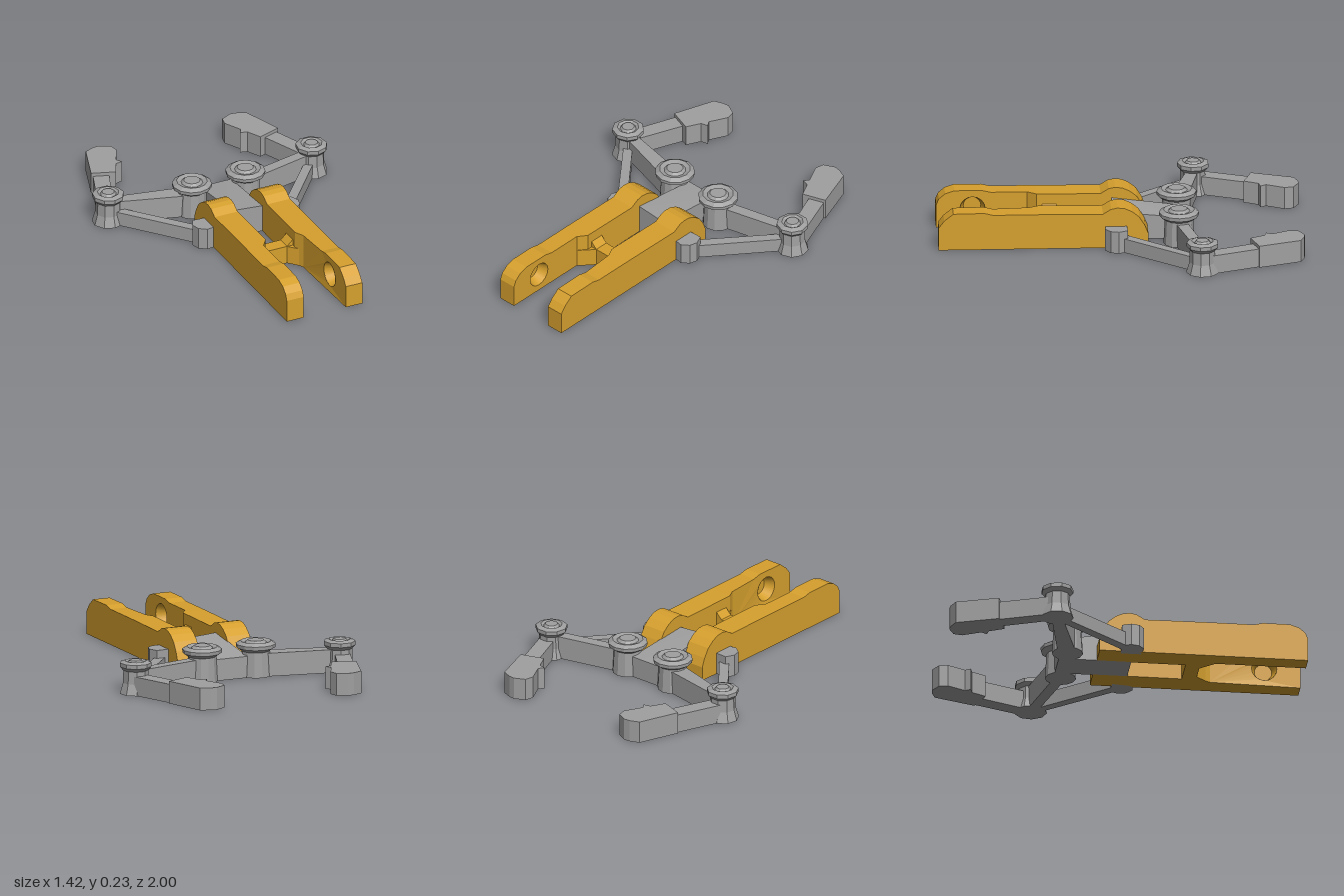
import * as THREE from 'three';

const gold = new THREE.MeshStandardMaterial({ color: 0xd6a02e, side: THREE.DoubleSide });
gold.name = 'gold';
const grey = new THREE.MeshStandardMaterial({ color: 0xa0a0a0 });
grey.name = 'grey';

function add(parent, name, geometry, material) {
  const mesh = new THREE.Mesh(geometry, material);
  mesh.name = name;
  parent.add(mesh);
  return mesh;
}

const toShape = pts => new THREE.Shape(pts.map(p => new THREE.Vector2(p[0], p[1])));
const extrude = (shape, depth) =>
  new THREE.ExtrudeGeometry(shape, { depth, bevelEnabled: false, curveSegments: 8 });

// Prism from an (x, z) outline, mirrored by s, standing between y0 and y1
function planPrism(pts, s, y0, y1) {
  return extrude(toShape(pts.map(([x, z]) => [s * x, -z])), y1 - y0)
    .rotateX(-Math.PI / 2).translate(0, y0, 0);
}

// Slab from a (z, y) profile between an inner x that may vary with z and an outer x
function sideSlab(pts, s, inner, outer, hole) {
  const shape = toShape(pts);
  if (hole) {
    const path = new THREE.Path();
    path.absarc(hole.z, hole.y, hole.r, 0, Math.PI * 2, true);
    shape.holes.push(path);
  }
  const g = extrude(shape, 1).rotateY(-Math.PI / 2);
  const p = g.attributes.position;
  for (let i = 0; i < p.count; i++) {
    const t = s > 0 ? 1 + p.getX(i) : -p.getX(i);
    const a = inner(p.getZ(i));
    p.setX(i, s * (a + t * (outer - a)));
  }
  g.computeVertexNormals();
  return g;
}

// Straight bar between two (x, z) points, tapering from width w0 to w1
function bar([x0, z0], [x1, z1], w0, w1, height, s) {
  const len = Math.hypot(x1 - x0, z1 - z0);
  const nx = -(z1 - z0) / len / 2, nz = (x1 - x0) / len / 2;
  return planPrism([
    [x0 + nx * w0, z0 + nz * w0], [x1 + nx * w1, z1 + nz * w1],
    [x1 - nx * w1, z1 - nz * w1], [x0 - nx * w0, z0 - nz * w0],
  ], s, 0, height);
}

// Faceted pivot turned from (radius, y) points
function pivot(pts, sides) {
  const g = new THREE.LatheGeometry(pts.map(p => new THREE.Vector2(p[0], p[1])), sides).toNonIndexed();
  g.computeVertexNormals();
  return g;
}

function goldArm(s) {
  const arm = new THREE.Group();
  arm.name = s > 0 ? 'leftArm' : 'rightArm';
  const nose = s > 0
    ? [[1, 0.13], [0.97, 0.17], [0.92, 0.21]]
    : [[1, 0.13], [0.985, 0.165], [0.95, 0.195], [0.9, 0.212]];
  const front = [[0.5, 0], [1, 0], ...nose, [0.75, 0.212], [0.7, 0.2], [0.5, 0.2]];
  const middle = [[0.45, 0], [0.5, 0], [0.5, 0.2], [0.45, 0.2]];
  const rear = [[-0.15, 0], [0.45, 0], [0.45, 0.2], [0.1, 0.197], [0.055, 0.225], [0.02, 0.232],
    [-0.02, 0.228], [-0.06, 0.21], [-0.1, 0.178], [-0.13, 0.13], [-0.15, 0.08]];
  const faceX = z => s > 0 ? 0.115 + 0.015 * Math.min(1, (z - 0.5) / 0.2) : 0.127;
  const hole = { z: 0.8, y: 0.105, r: 0.07 };

  add(arm, 'armFrontOuter', sideSlab(front, s, () => 0.185, 0.23), gold);
  add(arm, 'armFrontInner', sideSlab(front, s, faceX, 0.185, hole), gold);
  add(arm, 'armMiddle', sideSlab(middle, s, z => z > 0.47 ? faceX(0.5) : 0.09, 0.23), gold);
  add(arm, 'armRear', sideSlab(rear, s, () => 0.09, 0.23), gold);

  // Conical socket on the inner face
  const socket = new THREE.CylinderGeometry(0.048, 0.07, 0.057, 20, 1, true)
    .rotateZ(-s * Math.PI / 2).translate(s * 0.157, hole.y, hole.z);
  add(arm, 'socket', socket, gold);

  // Gusset running into the cross bar
  add(arm, 'gusset', planPrism([[0.055, 0.42], [0.13, 0.42], [0.125, 0.5]], s, 0, 0.105), gold);
  return arm;
}

function linkage(s) {
  const side = new THREE.Group();
  side.name = s > 0 ? 'leftLinkage' : 'rightLinkage';

  // Large pivot beside the body
  const hub = pivot([[0, 0], [0.085, 0], [0.078, 0.14], [0.108, 0.16], [0.11, 0.18],
    [0.085, 0.195], [0.06, 0.187], [0.045, 0.2], [0, 0.2]], 12);
  add(side, 'hub', hub, grey).position.set(s * 0.163, 0, -0.32);

  // Outer elbow pivot
  const elbow = pivot([[0, 0], [0.09, 0], [0.072, 0.06], [0.07, 0.13], [0.088, 0.15], [0.088, 0.172],
    [0.06, 0.182], [0.045, 0.172], [0.035, 0.185], [0, 0.185]], 9);
  add(side, 'elbow', elbow, grey).position.set(s * 0.62, 0, -0.43);

  add(side, 'upperLink', bar([0.18, -0.325], [0.61, -0.43], s > 0 ? 0.065 : 0.1, 0.06, 0.13, s), grey);
  add(side, 'lowerLink', bar([0.26, 0.0], [0.6, -0.41], 0.055, 0.05, 0.08, s), grey);
  add(side, 'lug', planPrism([[0.2, 0.08], [0.27, 0.09], [0.31, 0.06], [0.322, 0.015],
    [0.3, -0.035], [0.2, -0.03]], s, 0, 0.125), grey);

  // Rod and gripping pad
  add(side, 'rod', bar([0.625, -0.45], [0.505, -0.76], 0.085, 0.09, 0.105, s), grey);
  add(side, 'pad', planPrism([[0.57, -0.745], [0.44, -0.7], [0.4, -0.78], [0.36, -0.79], [0.38, -0.82],
    [0.33, -0.92], [0.34, -0.97], [0.4, -1], [0.435, -0.997], [0.49, -0.975]], s, 0, 0.125), grey);
  return side;
}

export function createModel() {
  const model = new THREE.Group();
  model.name = 'clawFrame';

  for (const s of [1, -1]) model.add(goldArm(s), linkage(s));

  // Cross bar with raised shoulders
  const cross = toShape([[-0.1, 0], [0.1, 0], [0.1, 0.14], [0.09, 0.14], [0.055, 0.105],
    [-0.055, 0.105], [-0.09, 0.14], [-0.1, 0.14]]);
  add(model, 'crossBar', extrude(cross, 0.08).translate(0, 0, 0.34), gold);

  // Central body, its top sloping down to the back
  const body = new THREE.BoxGeometry(0.19, 0.15, 0.4).translate(0, 0.075, -0.16);
  const p = body.attributes.position;
  for (let i = 0; i < p.count; i++) {
    if (p.getY(i) > 0.1) p.setY(i, p.getZ(i) > 0 ? 0.165 - 0.08 * p.getX(i) : 0.12);
  }
  body.computeVertexNormals();
  add(model, 'body', body, grey);
  return model;
}
